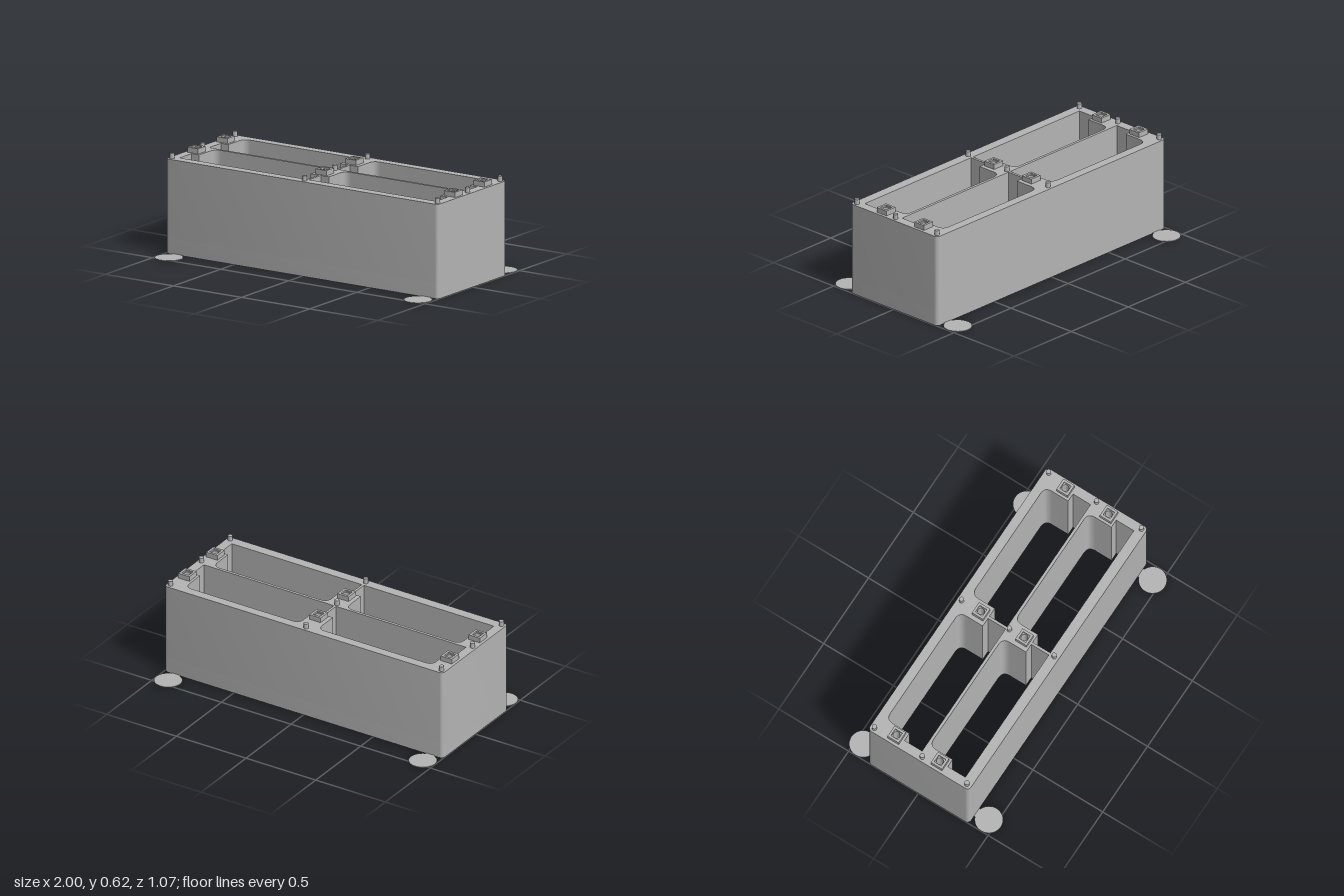
import * as THREE from 'three';
import { toCreasedNormals } from 'three/addons/utils/BufferGeometryUtils.js';

const HEIGHT = 0.588, TOP = 0.62, BORE_DEPTH = 0.1;
const CELL_PITCH = 0.31;          // spacing of the two rows of cells in z
const BOSS_X = [-0.942, 0, 0.942], BOSS_Z = [-0.193, 0.118];

export function createModel() {
  const group = new THREE.Group();
  const grey = new THREE.MeshStandardMaterial({ color: 0xb4b4b4 });
  grey.name = 'grey plastic';

  const add = (name, geometry, x = 0, y = 0, z = 0) => {
    const mesh = new THREE.Mesh(geometry, grey);
    mesh.name = name;
    mesh.position.set(x, y, z);
    group.add(mesh);
    return mesh;
  };

  // Extrude a plan outline (shape y = -z) upwards
  const extrudeUp = (shape, depth) => {
    const g = new THREE.ExtrudeGeometry(shape, { depth, bevelEnabled: false, curveSegments: 10 });
    g.rotateX(-Math.PI / 2);
    return toCreasedNormals(g, 0.6);
  };

  const circle = (x, z, r) => new THREE.Path().absarc(x, -z, r, 0, Math.PI * 2, true);

  const square = (target, h) => {
    target.moveTo(-h, -h);
    target.lineTo(h, -h);
    target.lineTo(h, h);
    target.lineTo(-h, h);
    target.closePath();
    return target;
  };

  // Open cell, stepped around the screw bosses, with two rounded corners
  const cell = (side, dz) => {
    const p = new THREE.Path(), r = 0.05;
    const X = (x) => side * x, Y = (z) => -(z + dz);
    p.moveTo(X(0.008), Y(-0.012));
    p.lineTo(X(0.94), Y(-0.012));
    p.lineTo(X(0.94), Y(-0.138));
    p.lineTo(X(0.886), Y(-0.138));
    p.lineTo(X(0.886), Y(-0.304 + r));
    p.quadraticCurveTo(X(0.886), Y(-0.304), X(0.886 - r), Y(-0.304));
    p.lineTo(X(0.067 + r), Y(-0.304));
    p.quadraticCurveTo(X(0.067), Y(-0.304), X(0.067), Y(-0.304 + r));
    p.lineTo(X(0.067), Y(-0.138));
    p.lineTo(X(0.008), Y(-0.138));
    p.closePath();
    return p;
  };

  // Plan of the housing, with screw holes of the given radius
  const plan = (holeRadius) => {
    const s = new THREE.Shape(), w = 1, d = 0.362, r = 0.025;
    s.moveTo(-w + r, -d);
    s.lineTo(w - r, -d);
    s.absarc(w - r, -d + r, r, -Math.PI / 2, 0);
    s.absarc(w - r, d - r, r, 0, Math.PI / 2);
    s.absarc(-w + r, d - r, r, Math.PI / 2, Math.PI);
    s.absarc(-w + r, -d + r, r, Math.PI, Math.PI * 1.5);
    for (const side of [-1, 1]) for (const dz of [0, CELL_PITCH]) s.holes.push(cell(side, dz));
    for (const x of BOSS_X) for (const z of BOSS_Z) s.holes.push(circle(x, z, holeRadius));
    return s;
  };

  // Housing: counterbored base and main walls
  add('housingBase', extrudeUp(plan(0.033), BORE_DEPTH));
  add('housingWalls', extrudeUp(plan(0.021), HEIGHT - BORE_DEPTH), 0, BORE_DEPTH);

  // Square pads around the screw holes, with a shallow square recess
  const padLower = square(new THREE.Shape(), 0.04);
  padLower.holes.push(circle(0, 0, 0.021));
  const padUpper = square(new THREE.Shape(), 0.04);
  padUpper.holes.push(square(new THREE.Path(), 0.025));
  const lowerGeo = extrudeUp(padLower, 0.022), upperGeo = extrudeUp(padUpper, 0.01);
  for (const x of BOSS_X) for (const z of BOSS_Z) {
    add('screwPad', lowerGeo, x, HEIGHT, z);
    add('screwPadRim', upperGeo, x, HEIGHT + 0.022, z);
  }

  // Locating pins on the top rim
  const pinGeo = new THREE.CylinderGeometry(0.015, 0.015, TOP - HEIGHT, 20);
  for (const x of [-0.973, 0, 0.973]) for (const z of [-0.333, 0.01, 0.331])
    add('locatingPin', pinGeo, x, (TOP + HEIGHT) / 2, z);

  // Sloped ledges at the foot of each cell's front wall
  const ledge = new THREE.Shape();
  ledge.moveTo(0, 0);
  ledge.lineTo(0.063, 0.075);
  ledge.lineTo(0.063, 0.09);
  ledge.lineTo(0, 0.09);
  ledge.closePath();
  const ledgeGeo = new THREE.ExtrudeGeometry(ledge, { depth: 0.594, bevelEnabled: false });
  ledgeGeo.rotateY(Math.PI / 2).translate(-0.297, 0, 0);
  for (const x of [-0.478, 0.478]) for (const z of [-0.012, -0.012 + CELL_PITCH])
    add('slopedLedge', ledgeGeo, x, 0, z);

  // Thin corner discs joined to the housing by short tabs
  const discGeo = new THREE.CylinderGeometry(0.086, 0.086, 0.005, 40);
  const tabGeo = new THREE.BoxGeometry(0.06, 0.0045, 0.04);
  for (const x of [-0.914, 0.914]) for (const side of [-1, 1]) {
    add('cornerDisc', discGeo, x, 0.0025, side * 0.45);
    add('discTab', tabGeo, x, 0.00225, side * 0.375);
  }

  return group;
}
